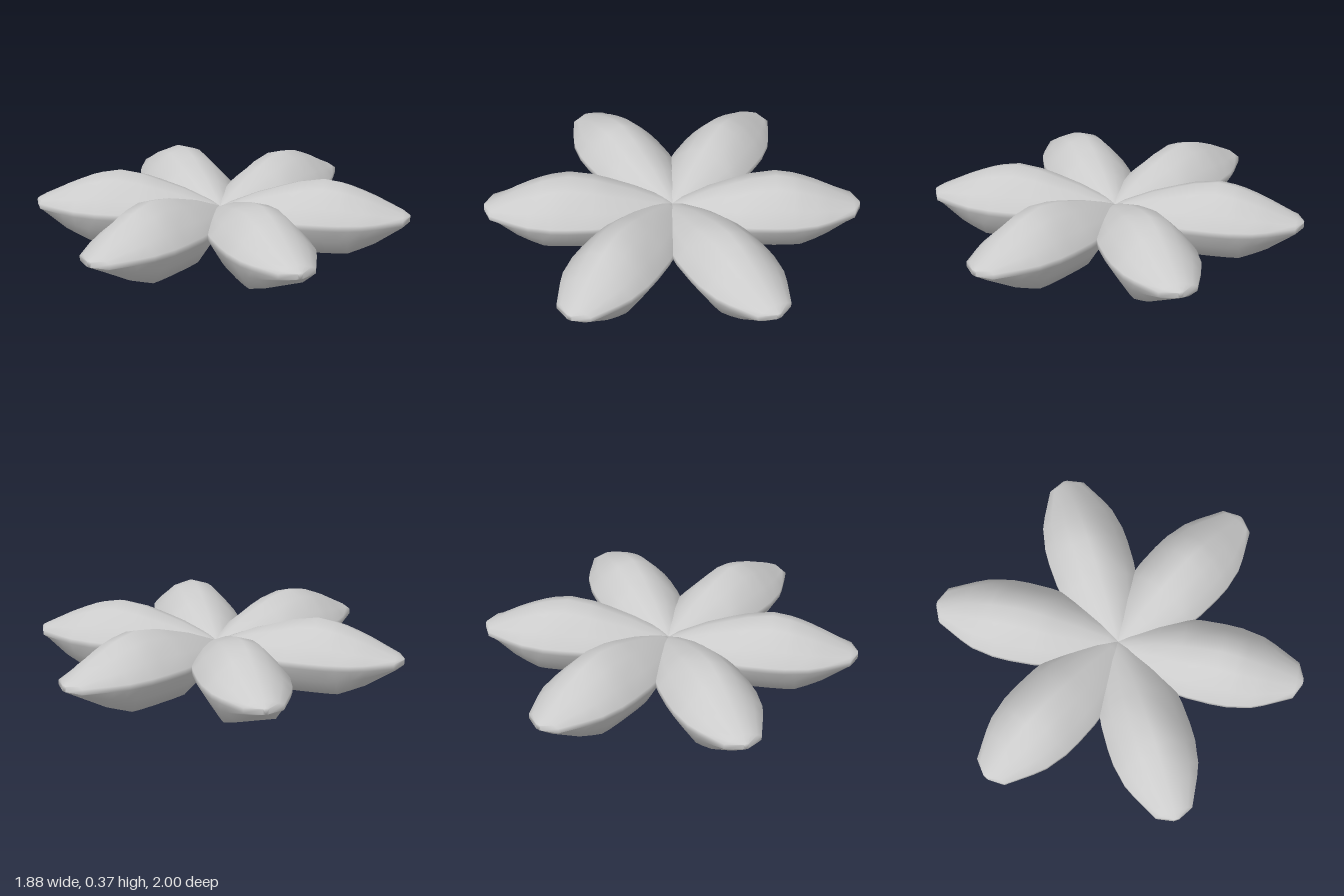
import * as THREE from 'three';

// Stations along a petal: [distance, half width, underside y, upper side y]
const STATIONS = [
  [0.00, 0.02, 0.155, 0.185],
  [0.05, 0.08, 0.13, 0.21],
  [0.20, 0.16, 0.05, 0.275],
  [0.34, 0.21, 0.00, 0.32],
  [0.42, 0.221, 0.00, 0.345],
  [0.55, 0.226, 0.00, 0.366],
  [0.64, 0.223, 0.00, 0.35],
  [0.69, 0.213, 0.00, 0.336],
  [0.76, 0.20, 0.028, 0.308],
  [0.83, 0.17, 0.055, 0.278],
  [0.97, 0.098, 0.135, 0.207],
  [1.008, 0.015, 0.155, 0.187],
];

// Right half of the cross-section from underside to top: [across, up]
// up runs from -1 (underside) to 1 (top); the thin rim lies between
const HALF = [
  [0, -1], [0.58, -1], [0.8, -0.5], [1, -0.02],
  [1, 0.02], [0.74, 0.4], [0.4, 0.84], [0, 1],
];
const RIM_LOW = 0.157, RIM_HIGH = 0.182;

// Full closed section, the left half mirrored from the right
const SECTION = [
  ...HALF,
  ...HALF.slice(1, -1).reverse().map(([u, v]) => [-u, v]),
];

function petalGeometry() {
  const n = SECTION.length;
  const positions = [];
  const index = [];

  for (const [z, w, low, high] of STATIONS) {
    for (const [u, v] of SECTION) {
      const y = v > 0
        ? THREE.MathUtils.lerp(RIM_HIGH, high, v)
        : THREE.MathUtils.lerp(RIM_LOW, low, -v);
      positions.push(u * w, y, z);
    }
  }

  // Skin between neighbouring stations
  const last = STATIONS.length - 1;
  for (let i = 0; i < last; i++) {
    for (let j = 0; j < n; j++) {
      const k = (j + 1) % n;
      const a = i * n + j, b = i * n + k;
      index.push(a, b, a + n, b, b + n, a + n);
    }
  }

  // Small end caps at the base and the tip
  const t = last * n;
  for (let j = 1; j < n - 1; j++) {
    index.push(0, j + 1, j);
    index.push(t, t + j, t + j + 1);
  }

  const geometry = new THREE.BufferGeometry();
  geometry.setAttribute('position', new THREE.Float32BufferAttribute(positions, 3));
  geometry.setIndex(index);
  geometry.computeVertexNormals();
  return geometry;
}

export function createModel() {
  const flower = new THREE.Group();
  flower.name = 'flower';
  const geometry = petalGeometry();
  const material = new THREE.MeshStandardMaterial({ color: 0xcccccc });

  // Six petals around the centre, turned slightly off the front axis
  for (let i = 0; i < 6; i++) {
    const petal = new THREE.Mesh(geometry, material);
    petal.name = `petal${i + 1}`;
    petal.rotation.y = THREE.MathUtils.degToRad(7.8 + i * 60);
    flower.add(petal);
  }
  return flower;
}
